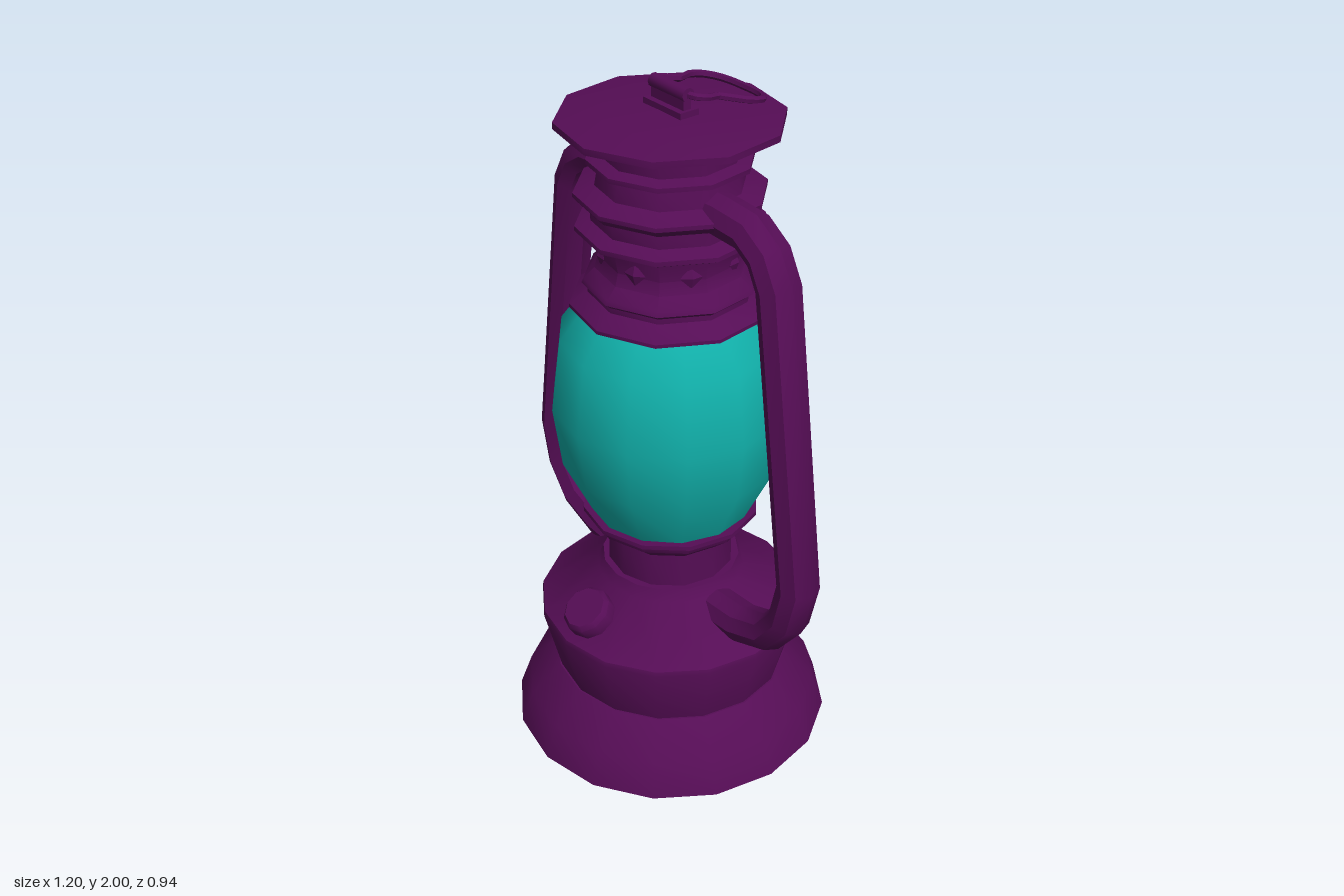
import * as THREE from 'three';
import { toCreasedNormals } from 'three/addons/utils/BufferGeometryUtils.js';

const metal = new THREE.MeshStandardMaterial({ color: 0x550d55 });
const glass = new THREE.MeshStandardMaterial({ color: 0x11b0aa });

function part(name, geometry, material = metal) {
  const mesh = new THREE.Mesh(toCreasedNormals(geometry, 0.68), material);
  mesh.name = name;
  return mesh;
}

// Turned part from [radius, height] pairs, listed bottom to top
function turned(name, profile, sides, start = 0, material = metal) {
  const points = profile.map(([r, y]) => new THREE.Vector2(r, y));
  return part(name, new THREE.LatheGeometry(points, sides, start), material);
}

// Tube whose rings sit exactly on the given points
function bentTube(name, points, radius, sides, steps = 1) {
  const curve = new THREE.CatmullRomCurve3(points.map((p) => new THREE.Vector3(...p)));
  curve.getPointAt = (t, target) => curve.getPoint(t, target);
  curve.getTangentAt = (t, target) => curve.getTangent(t, target);
  const geometry = new THREE.TubeGeometry(curve, (points.length - 1) * steps, radius, sides);
  return part(name, geometry);
}

export function createModel() {
  const lantern = new THREE.Group();
  lantern.name = 'lantern';

  // Foot and fuel tank
  lantern.add(turned('foot', [[0, 0], [0.47, 0], [0.435, 0.1], [0.345, 0.19], [0.3, 0.19]], 16));
  lantern.add(turned('tank', [
    [0.34, 0.19], [0.388, 0.385], [0.385, 0.4], [0.215, 0.515], [0.2, 0.55], [0.17, 0.55],
  ], 16));

  // Burner neck with the flared cup under the globe
  lantern.add(turned('burner', [
    [0.183, 0.53], [0.183, 0.655], [0.235, 0.7], [0.24, 0.722], [0.255, 0.725], [0.255, 0.738], [0, 0.738],
  ], 12, 0.06));

  lantern.add(turned('globe', [
    [0.232, 0.735], [0.312, 0.9], [0.336, 1.08], [0.309, 1.29], [0.24, 1.385],
  ], 13, 0.06, glass));

  // Ringed chimney
  lantern.add(turned('chimney', [
    [0, 1.382], [0.275, 1.382], [0.275, 1.392], [0.225, 1.425], [0.225, 1.44],
    [0.24, 1.452], [0.235, 1.465], [0.205, 1.495], [0.195, 1.53], [0.205, 1.58],
    [0.255, 1.605], [0.255, 1.618], [0.212, 1.632], [0.212, 1.668],
    [0.242, 1.683], [0.257, 1.7], [0.257, 1.712], [0.2, 1.73], [0.19, 1.785],
    [0.222, 1.79], [0.222, 1.803], [0.186, 1.812], [0.186, 1.9],
  ], 10, 0.12));

  // Diamond vents around the chimney waist
  for (let i = 0; i < 8; i++) {
    const angle = Math.PI / 8 + (i * Math.PI) / 4;
    const vent = part('vent', new THREE.OctahedronGeometry(0.032));
    vent.scale.z = 0.35;
    vent.position.set(Math.sin(angle) * 0.191, 1.54, Math.cos(angle) * 0.191);
    vent.rotation.y = angle;
    lantern.add(vent);
  }

  // Wide cap plate
  lantern.add(turned('cap', [
    [0, 1.89], [0.302, 1.89], [0.302, 1.908], [0.19, 1.922], [0, 1.926],
  ], 10, 0.12));

  // Side handles joining tank and chimney
  for (const s of [1, -1]) {
    const handle = bentTube(s > 0 ? 'leftHandle' : 'rightHandle', [
      [0.2, 0.47], [0.33, 0.478], [0.445, 0.52], [0.515, 0.61], [0.545, 0.735],
      [0.425, 1.585], [0.385, 1.66], [0.32, 1.702], [0.22, 1.707], [0.12, 1.705],
    ].map(([x, y]) => [x * s, y, 0]), 0.054, 8);
    handle.scale.z = 1.16;
    lantern.add(handle);
  }

  // Filler cap, tilted with the shoulder of the tank
  const filler = turned('fillerCap', [
    [0.055, -0.06], [0.055, 0.012], [0.073, 0.018], [0.073, 0.058], [0.062, 0.072], [0, 0.072],
  ], 10);
  filler.position.set(0.01, 0.437, 0.287);
  filler.rotation.x = 0.57;
  lantern.add(filler);

  // Hinge on the cap
  const base = part('hingeBase', new THREE.BoxGeometry(0.15, 0.018, 0.06));
  base.position.set(0, 1.932, 0);
  const post = part('hingePost', new THREE.BoxGeometry(0.13, 0.05, 0.024));
  post.position.set(0, 1.955, 0);
  const pin = part('hingePin', new THREE.CylinderGeometry(0.019, 0.019, 0.14, 10));
  pin.position.set(0, 1.981, 0);
  pin.rotation.z = Math.PI / 2;
  lantern.add(base, post, pin);

  // Wire loop lying back over the cap
  const half = [[0.05, 0], [0.085, -0.012], [0.09, -0.05], [0.078, -0.09], [0.115, -0.15], [0.115, -0.205], [0.075, -0.238]];
  const loop = [...half, [0, -0.245], ...half.map(([x, z]) => [-x, z]).reverse()];
  lantern.add(bentTube('hangingLoop', loop.map(([x, z]) => [x, 1.981 + z * 0.23, z]), 0.01, 6, 2));

  return lantern;
}
